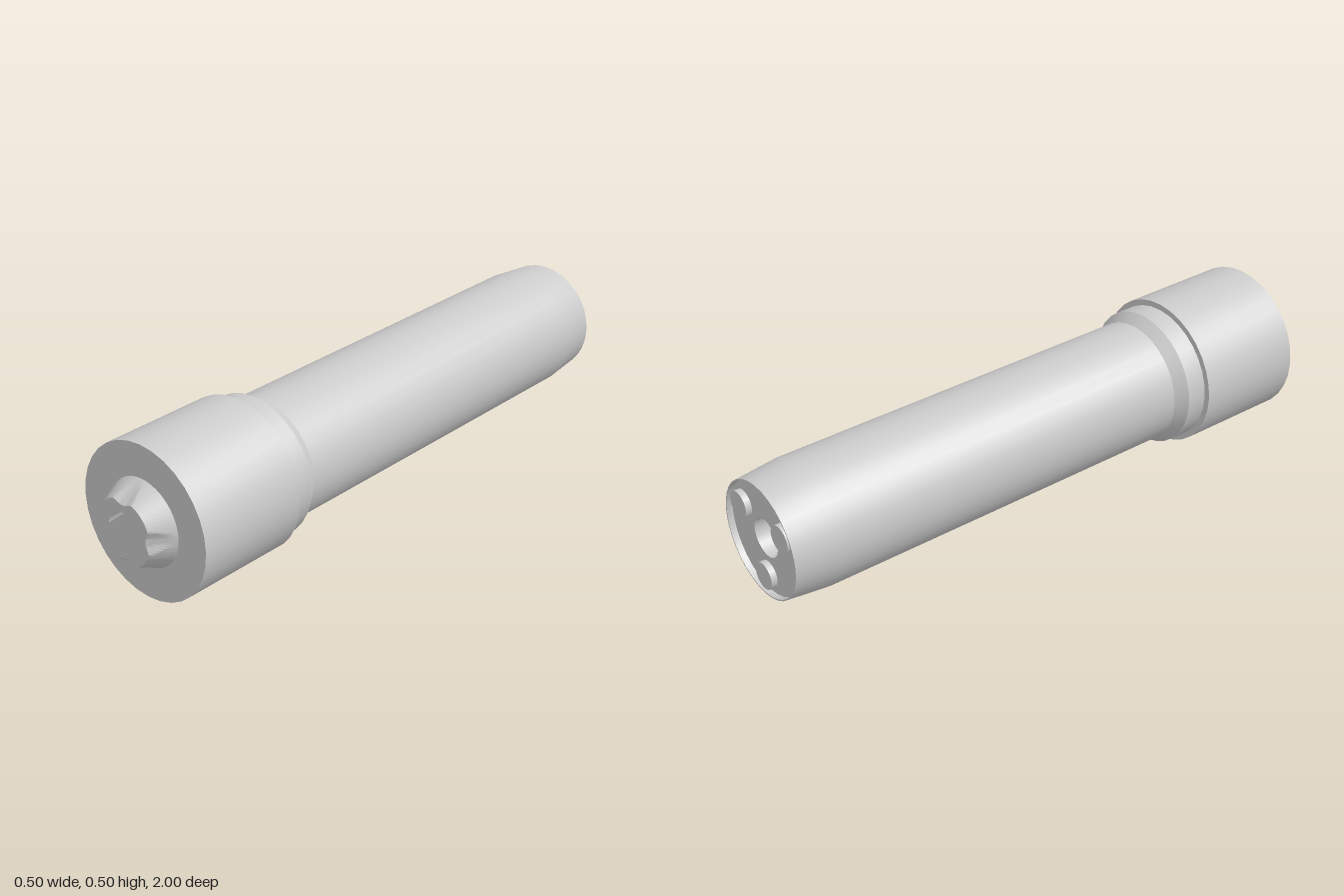
import * as THREE from 'three';
import { toCreasedNormals } from 'three/addons/utils/BufferGeometryUtils.js';

const AXIS_Y = 0.25;
const BORE = 0.063;
const NOSE_BACK = 0.925;
const material = new THREE.MeshStandardMaterial({ color: 0xcccccc });
const openMaterial = new THREE.MeshStandardMaterial({ color: 0xcccccc, side: THREE.DoubleSide });

// Point on the conical nose, with four scallops that widen toward the tip
function nosePoint(angle, t) {
  const radius = THREE.MathUtils.lerp(0.14, 0.105, t);
  const quarter = Math.PI / 2;
  const offset = (angle - Math.round(angle / quarter) * quarter) * radius;
  const open = Math.max(0, (t - 0.1) / 0.9);
  const halfWidth = 0.037 * Math.sqrt(open) + 1e-6;
  const depth = 0.018 * open * Math.max(0, 1 - (offset / halfWidth) ** 2);
  const r = radius - depth;
  return [r * Math.cos(angle), r * Math.sin(angle), THREE.MathUtils.lerp(NOSE_BACK, 1, t)];
}

function noseGeometry(around, rings) {
  const positions = [], index = [];
  for (let j = 0; j <= rings; j++) {
    for (let i = 0; i < around; i++) {
      positions.push(...nosePoint((i / around) * Math.PI * 2, j / rings));
      if (j === rings) continue;
      const n = (i + 1) % around;
      const a = j * around + i, b = j * around + n;
      index.push(a, b, b + around, a, b + around, a + around);
    }
  }
  const geometry = new THREE.BufferGeometry();
  geometry.setAttribute('position', new THREE.Float32BufferAttribute(positions, 3));
  geometry.setIndex(index);
  return toCreasedNormals(geometry, 0.45);
}

export function createModel() {
  const group = new THREE.Group();
  const add = (name, geometry, mat = material) => {
    const mesh = new THREE.Mesh(geometry, mat);
    mesh.name = name;
    mesh.position.y = AXIS_Y;
    group.add(mesh);
    return mesh;
  };

  // Turned body: bore, recessed back face, shaft, shoulder and head
  const profile = [
    [BORE, 1], [BORE, -0.98], [0.185, -0.98], [0.185, -1], [0.189, -1],
    [0.203, -0.86], [0.203, 0.435], [0.228, 0.475], [0.228, 0.545],
    [0.248, 0.545], [0.248, NOSE_BACK], [0.139, NOSE_BACK],
  ].map(([r, z]) => new THREE.Vector2(r, z));
  const body = new THREE.LatheGeometry(profile, 32);
  body.rotateX(Math.PI / 2);
  add('body', toCreasedNormals(body, 0.4));

  // Scalloped nose
  const around = 128;
  add('nose', noseGeometry(around, 8));

  // Nose end face with an opening cut off by a slanted chord
  const outline = [];
  for (let i = 0; i < around; i++) {
    const [x, y] = nosePoint((i / around) * Math.PI * 2, 1);
    outline.push(new THREE.Vector2(x, y));
  }
  const face = new THREE.Shape(outline);
  const opening = new THREE.Path();
  opening.absarc(0, 0, BORE, THREE.MathUtils.degToRad(86), THREE.MathUtils.degToRad(172), false);
  opening.closePath();
  face.holes.push(opening);
  add('noseFace', new THREE.ShapeGeometry(face), openMaterial).position.z = 1;

  // Three round studs on the back face
  for (const degrees of [30, 150, 270]) {
    const a = THREE.MathUtils.degToRad(degrees);
    const stud = new THREE.CylinderGeometry(0.044, 0.044, 0.02, 24);
    stud.rotateX(Math.PI / 2);
    stud.translate(0.128 * Math.cos(a), 0.128 * Math.sin(a), -0.99);
    add('backStud', stud);
  }
  return group;
}
